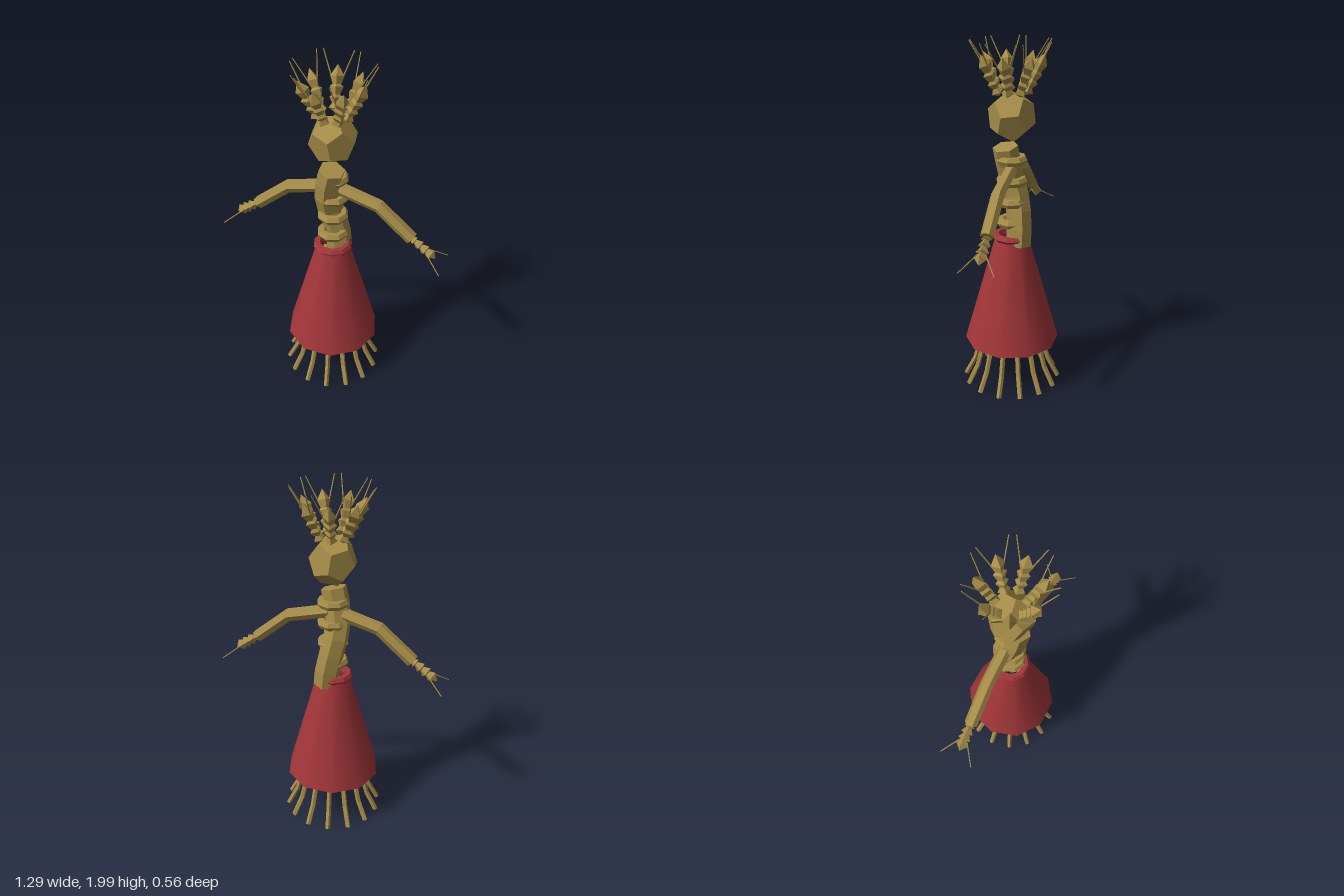
import * as THREE from 'three';

const straw = new THREE.MeshStandardMaterial({ color: 0xa58c48 });
straw.name = 'straw';
const redCloth = new THREE.MeshStandardMaterial({ color: 0xa23639, side: THREE.DoubleSide });
redCloth.name = 'redCloth';

const V = (x, y, z = 0) => new THREE.Vector3(x, y, z);

// Faceted copy of a geometry
function flat(geometry) {
  const g = geometry.index ? geometry.toNonIndexed() : geometry;
  g.computeVertexNormals();
  return g;
}

function add(parent, name, geometry, material = straw) {
  const mesh = new THREE.Mesh(geometry, material);
  mesh.name = name;
  parent.add(mesh);
  return mesh;
}

// Capped polygonal stalk swept along a curve
function stalk(points, radius, sides, steps) {
  const ring = [];
  for (let i = 0; i < sides; i++) {
    const a = (i / sides) * Math.PI * 2;
    ring.push(new THREE.Vector2(Math.cos(a) * radius, Math.sin(a) * radius));
  }
  return new THREE.ExtrudeGeometry(new THREE.Shape(ring), {
    steps, bevelEnabled: false, extrudePath: new THREE.CatmullRomCurve3(points),
  });
}

function lathe(profile, sides, start = 0) {
  return new THREE.LatheGeometry(profile.map(([r, y]) => new THREE.Vector2(r, y)), sides, start);
}

// Wheat ear growing along +y, with two awns spreading along z
function wheatEar(length, profile, awnTip) {
  const ear = new THREE.Group();
  ear.name = 'wheatEar';
  add(ear, 'grains', flat(lathe(profile.map(([r, t]) => [r, t * length]), 4)));
  for (const s of [-1, 1]) {
    const from = V(0, length * 0.65, s * 0.022);
    const to = V(0, awnTip.y, s * awnTip.z);
    const awn = add(ear, 'awn', flat(new THREE.CylinderGeometry(0.003, 0.004, from.distanceTo(to), 4)));
    awn.position.copy(from).lerp(to, 0.5);
    awn.quaternion.setFromUnitVectors(V(0, 1), to.sub(from).normalize());
  }
  return ear;
}

export function createModel() {
  const doll = new THREE.Group();
  doll.name = 'strawDoll';

  // Skirt and waistband
  add(doll, 'skirt', new THREE.CylinderGeometry(0.1, 0.272, 0.61, 10, 1, true, Math.PI / 2), redCloth)
    .position.y = 0.58;
  add(doll, 'waistband', flat(lathe([
    [0.075, 0.88], [0.1, 0.878], [0.096, 0.895], [0.112, 0.912], [0.1, 0.932], [0.075, 0.932], [0.068, 0.905], [0.075, 0.88],
  ], 10, Math.PI / 2)), redCloth);

  // Loose straws flaring out below the skirt
  const strand = stalk([V(0.06, 0.86), V(0.12, 0.5), V(0.175, 0.28), V(0.215, 0.13), V(0.275, 0.012)], 0.015, 5, 7);
  for (let i = 0; i < 14; i++) {
    add(doll, 'skirtStraw', strand).rotation.y = (i / 14) * Math.PI * 2;
  }

  // Twisting torso with four binding rings
  add(doll, 'torso', stalk([
    V(0.025, 0.87, -0.045), V(0.01, 1.0, -0.045), V(-0.02, 1.13, -0.025),
    V(-0.027, 1.27, 0.015), V(0.008, 1.43, 0.035),
  ], 0.072, 6, 6));
  const binding = flat(new THREE.TorusGeometry(0.064, 0.026, 6, 8));
  for (let i = 0; i < 4; i++) {
    const ring = add(doll, 'bindingRing', binding);
    ring.rotation.x = Math.PI / 2;
    ring.position.y = 1 + i * 0.12;
  }

  // Head
  const head = add(doll, 'head', flat(new THREE.DodecahedronGeometry(0.132)));
  head.scale.y = 1.1;
  head.rotation.set(0.12, 0.2, 0.12);
  head.position.y = 1.6;

  // Arms, each ending in a wheat ear for a hand
  const handProfile = [
    [0, 0], [0.03, 0.14], [0.014, 0.17], [0.034, 0.36], [0.016, 0.4],
    [0.036, 0.58], [0.018, 0.62], [0.034, 0.78], [0, 1],
  ];
  const armGeometry = stalk([V(0.02, 1.305), V(0.275, 1.235), V(0.455, 1.08)], 0.037, 6, 2);
  for (const [name, turn] of [['leftArm', 0], ['rightArm', Math.PI]]) {
    const arm = new THREE.Group();
    arm.name = name;
    arm.rotation.y = turn;
    add(arm, 'sleeve', armGeometry);
    const hand = wheatEar(0.18, handProfile, V(0, 0.236, 0.095));
    hand.position.set(0.45, 1.085, 0);
    hand.rotation.z = -Math.atan2(0.14, -0.1);
    arm.add(hand);
    doll.add(arm);
  }

  // Crown of seven wheat ears
  const crownProfile = [
    [0, 0], [0.034, 0.1], [0.018, 0.2], [0.034, 0.32], [0.02, 0.38],
    [0.036, 0.54], [0.022, 0.59], [0.037, 0.76], [0, 1],
  ];
  for (let i = 0; i < 7; i++) {
    const spoke = new THREE.Group();
    spoke.name = 'crownSpoke';
    spoke.rotation.y = (i / 7) * Math.PI * 2;
    const ear = wheatEar(0.244, crownProfile, V(0, 0.317, 0.08));
    ear.position.set(0.07, 1.71, 0);
    ear.rotation.z = -Math.atan2(0.105, 0.22);
    spoke.add(ear);
    doll.add(spoke);
  }

  return doll;
}
